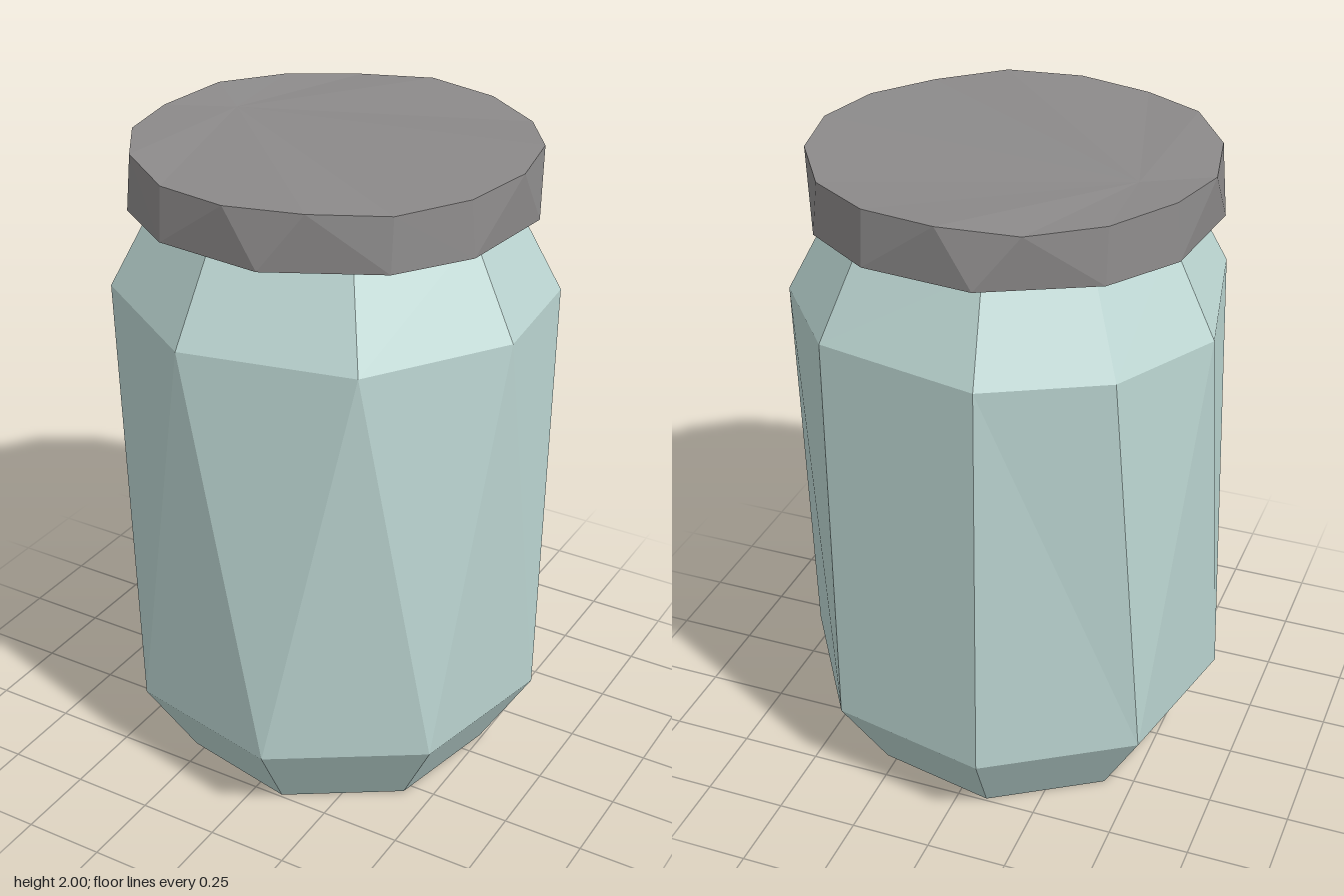
import * as THREE from 'three';

const DEG = Math.PI / 180;

// A ring of points at given angles (degrees, from +x towards +z); lift adds a height per point
const ring = (angles, r, y, lift = () => 0) => angles.map((a, i) => ({
  a, p: [r * Math.cos(a * DEG), y + lift(i), r * Math.sin(a * DEG)],
}));

// Triangles between two rings that may have different point counts
function stitch(out, low, high) {
  const next = (loop, i) => loop[i % loop.length].a + (i >= loop.length ? 360 : 0);
  const at = (loop, i) => loop[i % loop.length].p;
  let i = 0, j = 0;
  while (i < low.length || j < high.length) {
    if (j >= high.length || (i < low.length && next(low, i + 1) <= next(high, j + 1))) {
      out.push(...at(low, i), ...at(high, j), ...at(low, i + 1));
      i++;
    } else {
      out.push(...at(low, i), ...at(high, j), ...at(high, j + 1));
      j++;
    }
  }
}

// Fan closing a ring, facing up or down
function cap(out, loop, centre, up) {
  loop.forEach((v, i) => {
    const w = loop[(i + 1) % loop.length];
    out.push(...centre, ...(up ? w : v).p, ...(up ? v : w).p);
  });
}

// Faceted solid through a stack of rings, closed at both ends
function facetedMesh(name, rings, topCentre, material) {
  const out = [];
  for (let k = 0; k + 1 < rings.length; k++) stitch(out, rings[k], rings[k + 1]);
  cap(out, rings[0], [0, rings[0][0].p[1], 0], false);
  cap(out, rings[rings.length - 1], topCentre, true);
  const geometry = new THREE.BufferGeometry();
  geometry.setAttribute('position', new THREE.Float32BufferAttribute(out, 3));
  geometry.computeVertexNormals();
  const mesh = new THREE.Mesh(geometry, material);
  mesh.name = name;
  return mesh;
}

export function createModel() {
  const glass = new THREE.MeshStandardMaterial({ color: 0xbcd6d2, flatShading: true });
  glass.name = 'pale glass';
  const metal = new THREE.MeshStandardMaterial({ color: 0x8c8a8a, flatShading: true });
  metal.name = 'grey metal';

  // Jar: regular octagon below, twisted nine-sided shoulder above
  const base = Array.from({ length: 8 }, (_, i) => -10.5 + 45 * i);
  const shoulder = [12.2, 54.6, 101.3, 144.9, 192, 225, 259, 304.6, 337];
  const jar = facetedMesh('jar', [
    ring(base, 0.5, 0),
    ring(base, 0.66, 0.26),
    ring(shoulder, 0.66, 1.56),
    ring(shoulder, 0.51, 1.84),
  ], [0, 1.84, 0], glass);

  // Lid: uneven lower rim, sixteen-sided upper rim and a slightly dented top
  const lowerRim = [0, 90, 180, 270].flatMap((q) => [q - 10, q + 22, q + 46]);
  const upperRim = Array.from({ length: 16 }, (_, i) => 22.5 * i);
  const lid = facetedMesh('lid', [
    ring(lowerRim, 0.605, 1.83),
    ring(upperRim, 0.592, 2, (i) => -0.006 * ((i * 7) % 3)),
  ], [-0.4, 1.985, -0.1], metal);

  const group = new THREE.Group();
  group.name = 'lidded jar';
  group.add(jar, lid);
  return group;
}
